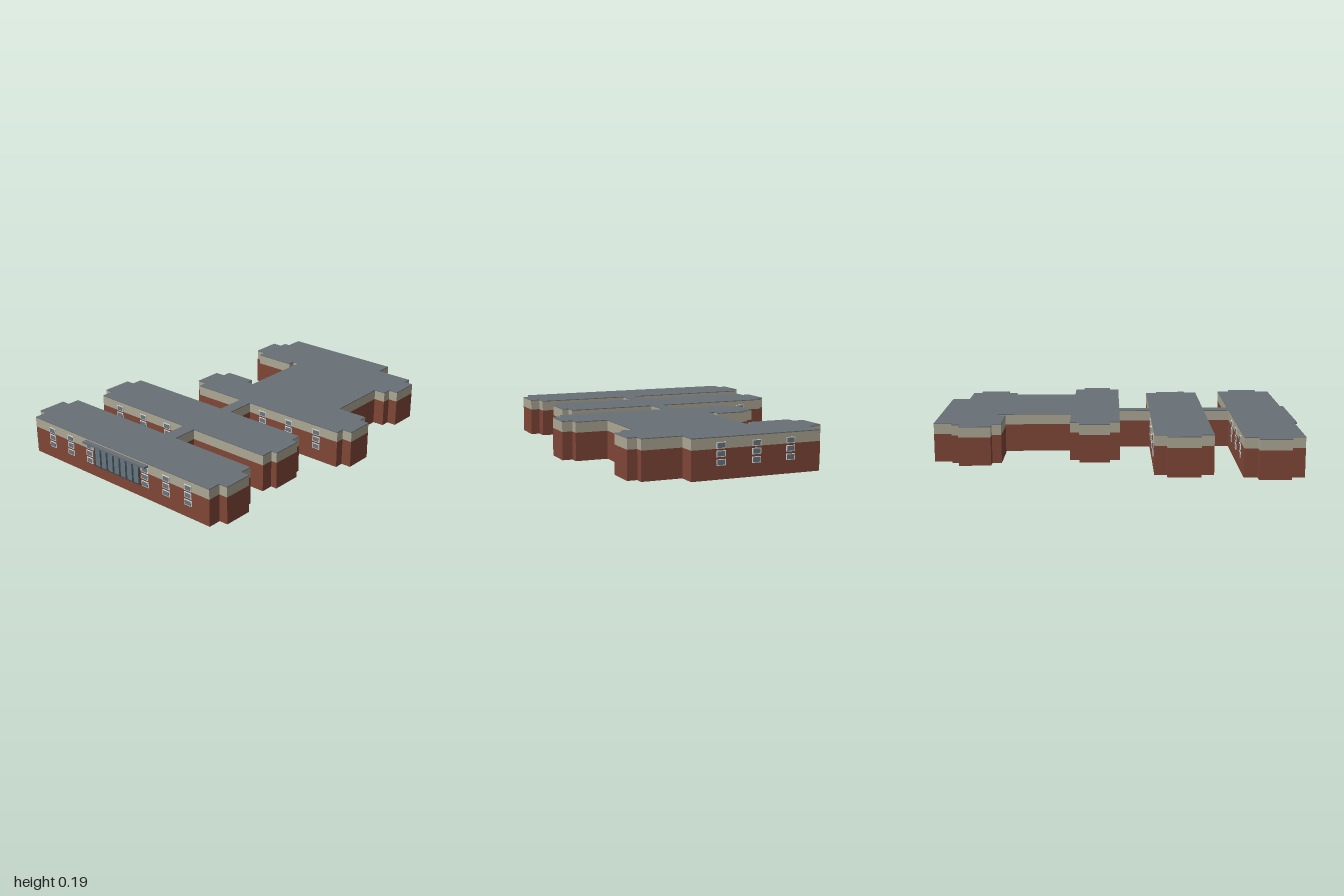
import * as THREE from 'three';

const mat = (name, color) => new THREE.MeshStandardMaterial({ name, color });

export function createModel() {
  const brick = mat('brick', 0x7f4637);
  const cream = mat('cream band', 0xaca793);
  const roof = mat('roof grey', 0x686f76);
  const white = mat('frame white', 0xdde0de);
  const glass = mat('window glass', 0x66757e);
  const dark = mat('entrance dark', 0x34414a);

  const model = new THREE.Group();
  model.name = 'schoolBuilding';
  // Everything is laid out square, then the whole site is turned
  const site = new THREE.Group();
  site.name = 'site';
  site.rotation.y = Math.PI / 10;
  model.add(site);

  // Layer of a footprint between two heights
  function layer(points, y0, y1, material, name) {
    const shape = new THREE.Shape(points.map(([u, v]) => new THREE.Vector2(u, v)));
    const geo = new THREE.ExtrudeGeometry(shape, { depth: y1 - y0, bevelEnabled: false });
    geo.rotateX(Math.PI / 2).translate(0, y1, 0);
    const mesh = new THREE.Mesh(geo, material);
    mesh.name = name;
    return mesh;
  }

  // Brick wall, cream upper band and flat roof
  function block(name, points) {
    const g = new THREE.Group();
    g.name = name;
    g.add(layer(points, 0, 0.14, brick, 'brickWall'));
    g.add(layer(points, 0.14, 0.19, cream, 'creamBand'));
    g.add(layer(points, 0.19, 0.194, roof, 'flatRoof'));
    site.add(g);
  }

  // Long wing with a narrower bay at each end
  const wing = (u0, u1, v0, v1, t0, t1, e0, e1) => [
    [u0, v0], [t0, v0], [t0, e0], [t1, e0], [t1, v0], [u1, v0],
    [u1, v1], [t1, v1], [t1, e1], [t0, e1], [t0, v1], [u0, v1],
  ];
  const rect = (u0, u1, v0, v1) => [[u0, v0], [u1, v0], [u1, v1], [u0, v1]];

  block('outerWing', wing(-0.811, -0.525, -0.747, 0.464, -0.743, -0.59, -0.792, 0.511));
  block('middleWing', wing(-0.393, -0.111, -0.692, 0.431, -0.329, -0.17, -0.736, 0.464));
  block('outerLink', rect(-0.525, -0.393, -0.092, -0.021));
  block('innerLink', rect(-0.111, 0.047, -0.09, -0.022));
  block('mainBlock', [
    [0.047, -0.386], [0.096, -0.386], [0.096, -0.441], [0.247, -0.441], [0.247, -0.388],
    [0.295, -0.388], [0.295, -0.217], [0.255, -0.217], [0.255, -0.179],
    [0.668, -0.179], [0.668, -0.215], [0.629, -0.215], [0.629, -0.438], [0.675, -0.438],
    [0.675, -0.494], [0.831, -0.494], [0.831, -0.44], [0.871, -0.44], [0.871, -0.409],
    [0.962, -0.409], [0.962, 0.249], [0.871, 0.249], [0.871, 0.448], [0.826, 0.448],
    [0.826, 0.497], [0.673, 0.497], [0.673, 0.447], [0.625, 0.447], [0.625, 0.386],
    [0.291, 0.386], [0.291, 0.551], [0.243, 0.551], [0.243, 0.603], [0.094, 0.603],
    [0.094, 0.55], [0.047, 0.55],
  ]);

  // Box given by its centre and size
  function box(parent, name, material, [x, y, z], [w, h, d]) {
    const mesh = new THREE.Mesh(new THREE.BoxGeometry(w, h, d), material);
    mesh.name = name;
    mesh.position.set(x, y, z);
    parent.add(mesh);
  }

  // Columns of three framed windows on a side wall; side is +1 or -1
  function windows(name, u, side, columns) {
    const g = new THREE.Group();
    g.name = name;
    for (const v of columns) {
      for (const y of [0.078, 0.117, 0.155]) {
        box(g, 'windowFrame', white, [u + side * 0.001, y, v], [0.004, 0.029, 0.045]);
        box(g, 'windowPane', glass, [u + side * 0.002, y, v], [0.004, 0.022, 0.037]);
      }
    }
    site.add(g);
  }
  windows('mainRightWindows', 0.962, 1, [-0.253, -0.077, 0.102]);
  windows('mainLeftWindows', 0.047, -1, [0.065, 0.24, 0.42]);
  windows('middleRightWindows', -0.111, 1, [-0.56, -0.385, -0.21]);
  windows('middleLeftWindows', -0.393, -1, [-0.56, -0.385, -0.21]);
  windows('outerRightWindows', -0.525, 1, [-0.6, -0.425, -0.25]);
  windows('outerLeftWindows', -0.811, -1, [-0.617, -0.477, -0.337, 0.052, 0.192, 0.332]);

  // Entrance: dark surround, glazed bays and a long canopy
  const entrance = new THREE.Group();
  entrance.name = 'entrance';
  site.add(entrance);
  const mid = -0.1425;
  box(entrance, 'entranceSurround', dark, [-0.812, 0.112, mid], [0.004, 0.104, 0.32]);
  for (let i = -3; i <= 3; i++) {
    box(entrance, 'entranceGlass', glass, [-0.813, 0.112, mid + i * 0.045], [0.004, 0.092, 0.032]);
  }
  box(entrance, 'canopy', roof, [-0.822, 0.179, mid], [0.028, 0.01, 0.433]);

  return model;
}
